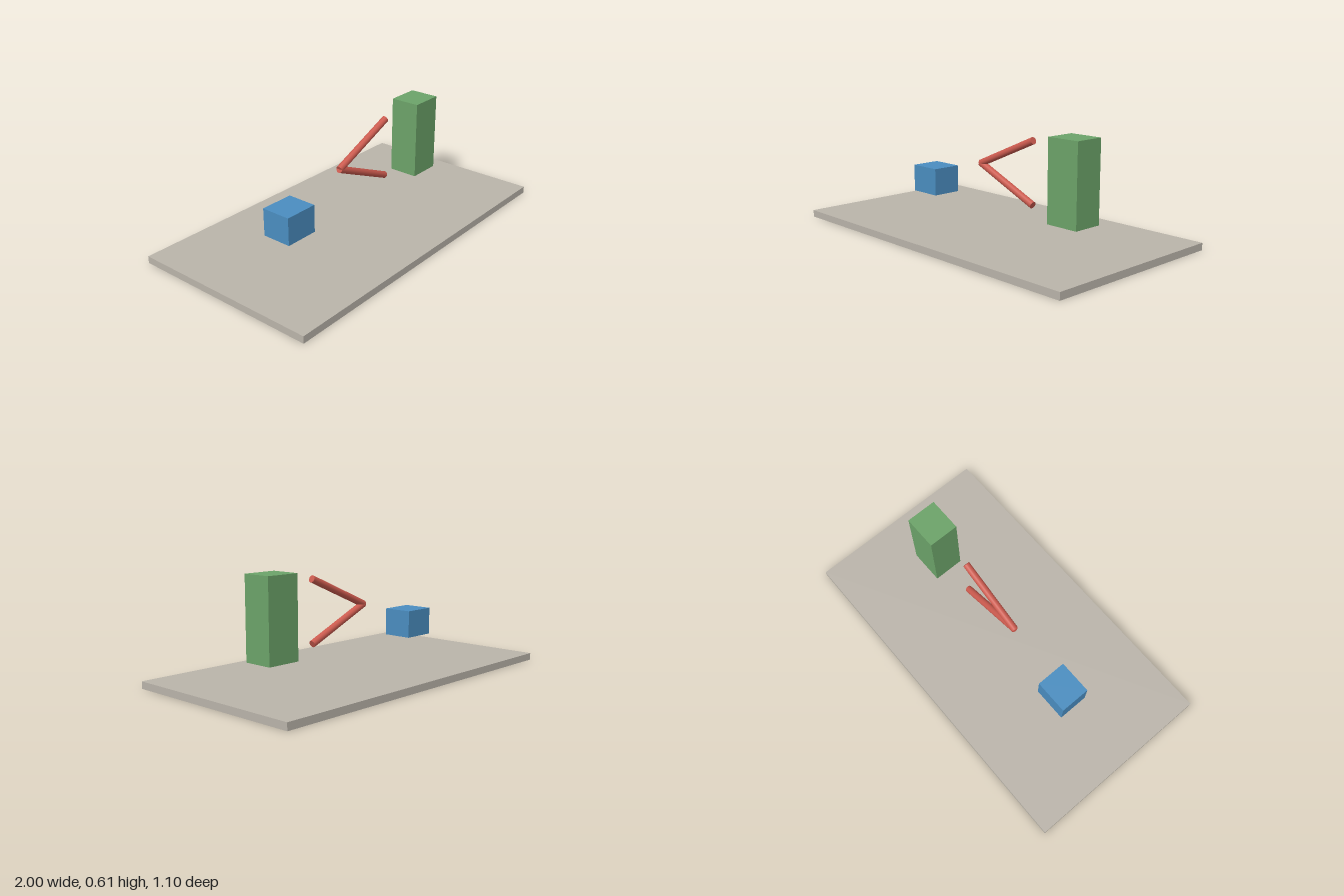
import * as THREE from 'three';

const material = (name, color) => {
  const m = new THREE.MeshStandardMaterial({ color });
  m.name = name;
  return m;
};

export function createModel() {
  const model = new THREE.Group();
  const stone = material('warm grey', 0xbab4aa);
  const blue = material('blue', 0x4a8dc0);
  const green = material('green', 0x6ca369);
  const red = material('red', 0xcb5a4e);

  const box = (name, mat, [w, h, d], x, bottom) => {
    const mesh = new THREE.Mesh(new THREE.BoxGeometry(w, h, d), mat);
    mesh.name = name;
    mesh.position.set(x, bottom + h / 2, 0);
    model.add(mesh);
  };

  // Base slab with a short and a tall block floating above it
  box('base', stone, [2, 0.04, 1.1], 0, 0);
  box('shortBlock', blue, [0.196, 0.157, 0.174], -0.502, 0.157);
  box('tallBlock', green, [0.196, 0.451, 0.174], 0.587, 0.157);

  // Two round bars opening towards the tall block from a shared corner
  const corner = new THREE.Vector3(-0.1, 0.383, 0);
  for (const [name, side] of [['upperBar', 1], ['lowerBar', -1]]) {
    const tip = new THREE.Vector3(0.303, corner.y + side * 0.174, 0);
    const along = tip.clone().sub(corner);
    const bar = new THREE.Mesh(new THREE.CylinderGeometry(0.02, 0.02, along.length(), 16), red);
    bar.name = name;
    bar.position.copy(corner).add(tip).multiplyScalar(0.5);
    bar.quaternion.setFromUnitVectors(new THREE.Vector3(0, 1, 0), along.normalize());
    model.add(bar);
  }
  return model;
}
